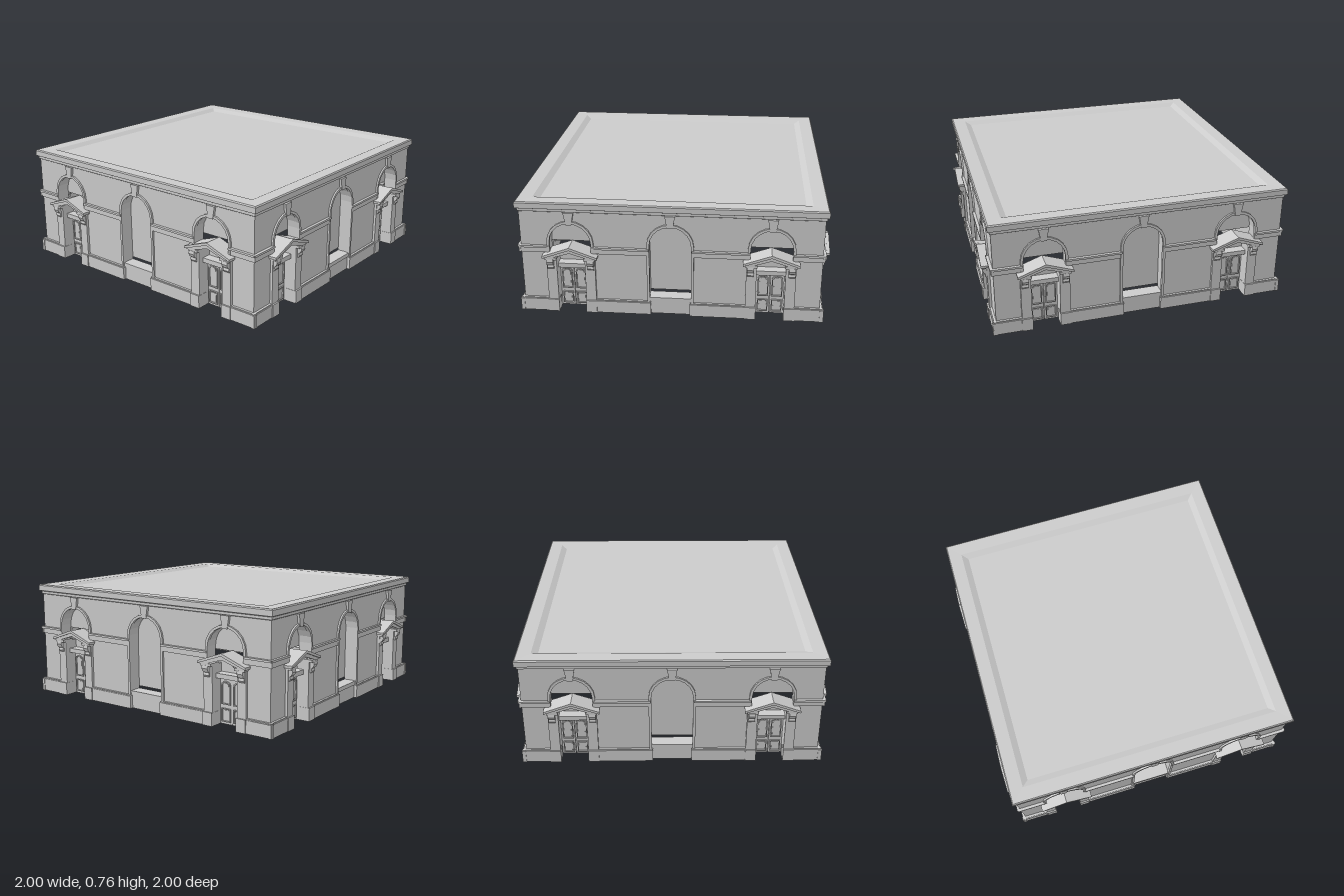
import * as THREE from 'three';

const WALL = 0.945, BACK = 0.865, DOOR_X = 0.63;
const mat = new THREE.MeshStandardMaterial({ color: 0xcccccc, flatShading: true, side: THREE.DoubleSide });

function mesh(geo, name, parent, x = 0, y = 0, z = 0) {
  const m = new THREE.Mesh(geo, mat);
  m.name = name;
  m.position.set(x, y, z);
  parent.add(m);
  return m;
}

// Box given by its extents
function block(name, parent, x0, x1, y0, y1, z0, z1) {
  return mesh(new THREE.BoxGeometry(x1 - x0, y1 - y0, z1 - z0), name, parent,
    (x0 + x1) / 2, (y0 + y1) / 2, (z0 + z1) / 2);
}

// Arched outline, from bottom left over the top to bottom right
function arch(cx, r, bottom, spring, rise = r, n = 10) {
  const pts = [new THREE.Vector2(cx - r, bottom)];
  for (let i = 0; i <= n; i++) {
    const a = Math.PI * (1 - i / n);
    pts.push(new THREE.Vector2(cx + r * Math.cos(a), spring + rise * Math.sin(a)));
  }
  pts.push(new THREE.Vector2(cx + r, bottom));
  return pts;
}

function panel(name, parent, pts, z) {
  return mesh(new THREE.ShapeGeometry(new THREE.Shape(pts)), name, parent, 0, 0, z);
}

function solid(name, parent, pts, z0, z1, hole) {
  const shape = new THREE.Shape(pts);
  if (hole) shape.holes.push(new THREE.Path(hole));
  return mesh(new THREE.ExtrudeGeometry(shape, { depth: z1 - z0, bevelEnabled: false }), name, parent, 0, 0, z0);
}

// Strip that carries an outline back from z0 to z1
function reveal(name, parent, pts, z0, z1) {
  const pos = [], idx = [];
  pts.forEach((p, i) => {
    pos.push(p.x, p.y, z0, p.x, p.y, z1);
    if (i) idx.push(2 * i - 2, 2 * i - 1, 2 * i, 2 * i, 2 * i - 1, 2 * i + 1);
  });
  const g = new THREE.BufferGeometry();
  g.setAttribute('position', new THREE.Float32BufferAttribute(pos, 3));
  g.setIndex(idx);
  g.computeVertexNormals();
  return mesh(g, name, parent);
}

// Moulded band around an arch, with a keystone
function archTrim(parent, cx, r, bottom, spring) {
  const pts = [...arch(cx, r + 0.013, bottom, spring), ...arch(cx, r - 0.004, bottom, spring).reverse()];
  solid('archMoulding', parent, pts, WALL - 0.01, WALL + 0.012);
  const top = spring + r;
  solid('keystone', parent, [[-0.018, -0.01], [0.018, -0.01], [0.032, 0.07], [-0.032, 0.07]]
    .map(([x, y]) => new THREE.Vector2(cx + x, top + y)), WALL - 0.02, WALL + 0.016);
}

function doorway() {
  const g = new THREE.Group();
  g.name = 'doorway';
  const v = (x, y) => new THREE.Vector2(x, y);

  // Backing wall with a notch under the gable
  panel('doorBacking', g, [v(-0.135, 0), v(0.135, 0), v(0.135, 0.40), v(0.055, 0.395),
    v(0, 0.36), v(-0.055, 0.395), v(-0.135, 0.40)], BACK);
  block('doorLintel', g, -0.09, 0.09, 0.295, 0.325, BACK, 0.925);

  for (const s of [-1, 1]) {
    const cx = s * 0.045;
    block('doorLeaf', g, cx - 0.0435, cx + 0.0435, 0, 0.295, BACK, BACK + 0.014);
    // Framed panels: square below, arched above
    const frames = [[0.015, 0.1, 0.001], [0.125, 0.25, 0.022]];
    for (const [y0, y1, rise] of frames) {
      solid('doorPanelFrame', g, arch(cx, 0.034, y0, y1, rise, 6), BACK + 0.012, BACK + 0.022,
        arch(cx, 0.027, y0 + 0.007, y1 - 0.006, rise, 6));
      solid('doorPanel', g, arch(cx, 0.021, y0 + 0.013, y1 - 0.012, rise, 6), BACK + 0.012, BACK + 0.018);
    }
    // Jamb pilaster
    const a = s * 0.09, b = s * 0.155;
    const x0 = Math.min(a, b), x1 = Math.max(a, b);
    block('doorJamb', g, x0, x1, 0, 0.38, BACK, 0.962);
    block('jambFoot', g, x0 - 0.002, x1 + 0.002, 0, 0.085, 0.9, 0.972);
    block('jambCap', g, x0 - 0.004, x1 + 0.004, 0.375, 0.392, 0.9, 0.985);
    // Scrolled bracket
    const side = [v(0.95, 0.305), v(0.966, 0.305), v(0.974, 0.316), v(0.97, 0.332),
      v(0.982, 0.342), v(0.99, 0.36), v(0.986, 0.38), v(0.95, 0.38)];
    const bracket = new THREE.ExtrudeGeometry(new THREE.Shape(side), { depth: 0.042, bevelEnabled: false });
    bracket.rotateY(-Math.PI / 2);
    mesh(bracket, 'bracket', g, s * 0.128 + 0.021);
  }

  // Open gable hood
  const hood = [v(-0.172, 0.388), v(-0.125, 0.388), v(0, 0.428), v(0.125, 0.388), v(0.172, 0.388),
    v(0.175, 0.405), v(0, 0.468), v(-0.175, 0.405)];
  solid('gableHood', g, hood, 0.875, 0.99);
  solid('gableCrown', g, [v(-0.175, 0.39), v(0, 0.452), v(0.175, 0.39), v(0.175, 0.406), v(0, 0.47),
    v(-0.175, 0.406)], 0.98, 1.0);
  return g;
}

function facade() {
  const g = new THREE.Group();
  g.name = 'facade';
  const doorArch = s => arch(s * DOOR_X, 0.135, 0, 0.485);
  const niche = arch(0, 0.135, 0.09, 0.485);

  // Wall sheet, cut by two doorways and the middle niche
  const wall = new THREE.Shape([new THREE.Vector2(-WALL, 0), ...doorArch(-1), ...doorArch(1),
    new THREE.Vector2(WALL, 0), new THREE.Vector2(WALL, 0.7), new THREE.Vector2(-WALL, 0.7)]);
  wall.holes.push(new THREE.Path(niche));
  mesh(new THREE.ShapeGeometry(wall), 'wall', g, 0, 0, WALL);

  // Middle niche
  reveal('nicheReveal', g, niche, WALL, BACK);
  panel('nicheBack', g, arch(0, 0.135, 0.132, 0.485), BACK);
  block('nicheSill', g, -0.135, 0.135, 0.09, 0.117, BACK, WALL + 0.005);
  archTrim(g, 0, 0.135, 0.09, 0.485);

  for (const s of [-1, 1]) {
    const span = (name, a, b, ...rest) => block(name, g, Math.min(s * a, s * b), Math.max(s * a, s * b), ...rest);
    // Doorway with its lunette
    reveal('doorReveal', g, doorArch(s), WALL, BACK);
    panel('lunetteBack', g, arch(s * DOOR_X, 0.135, 0.46, 0.485), BACK);
    archTrim(g, s * DOOR_X, 0.135, 0.415, 0.485);
    const door = doorway();
    door.position.x = s * DOOR_X;
    g.add(door);

    // Plinth
    span('plinth', 0.785, 0.97, 0, 0.083, WALL, 0.966);
    span('plinthCap', 0.785, 0.966, 0.083, 0.09, WALL, 0.96);
    span('plinth', 0.125, 0.475, 0, 0.083, WALL, 0.966);
    span('plinthCap', 0.125, 0.475, 0.083, 0.09, WALL, 0.96);

    // Belt course
    for (const [a, b] of [[0.135, 0.495], [0.765, 0.958]]) {
      span('beltCourse', a, b, 0.415, 0.452, WALL, 0.956);
      span('beltCap', a, b, 0.448, 0.461, WALL, 0.964);
    }
  }
  return g;
}

export function createModel() {
  const model = new THREE.Group();
  model.name = 'building';

  for (let i = 0; i < 4; i++) {
    const f = facade();
    f.rotation.y = i * Math.PI / 2;
    model.add(f);
  }

  // Square roof: sunken deck, sloped inner rim, cornice and frieze
  const profile = [[0, 0.738], [0.83, 0.738], [0.87, 0.756], [0.958, 0.758], [0.965, 0.751], [0.965, 0.716],
    [0.952, 0.71], [0.952, 0.694], [WALL, 0.69]]
    .map(([r, y]) => new THREE.Vector2(r * Math.SQRT2, y)).reverse();
  mesh(new THREE.LatheGeometry(profile, 4, Math.PI / 4), 'roof', model);

  return model;
}
